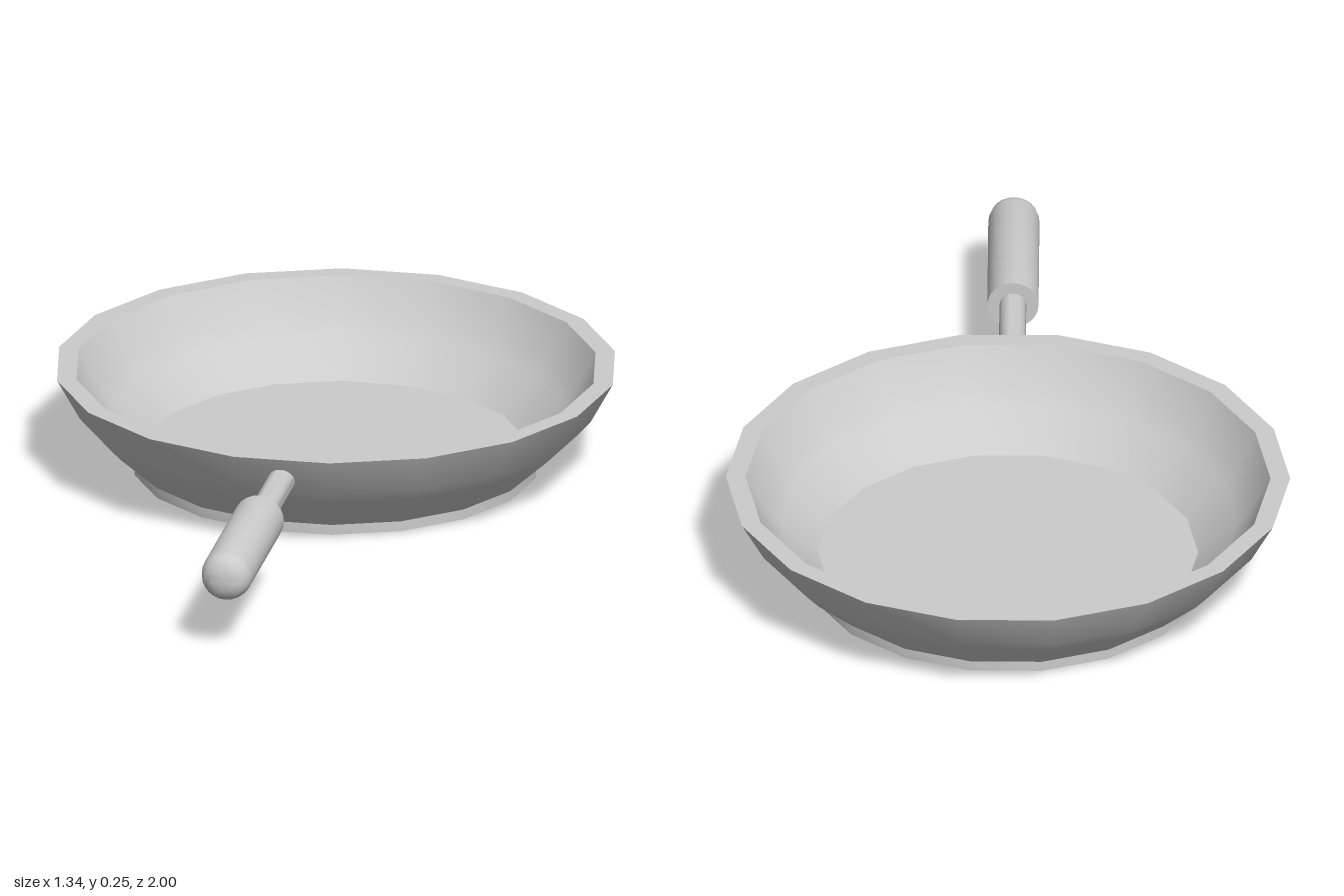
import * as THREE from 'three';
import { toCreasedNormals } from 'three/addons/utils/BufferGeometryUtils.js';

const material = new THREE.MeshStandardMaterial({ color: 0xcccccc });

// Revolves [radius, height] points, listed from the bottom centre outward and up
function turned(name, profile, sides, start = 0) {
  const points = profile.map(([r, y]) => new THREE.Vector2(r, y));
  const geometry = new THREE.LatheGeometry(points, sides, start);
  const mesh = new THREE.Mesh(toCreasedNormals(geometry, 0.6), material);
  mesh.name = name;
  return mesh;
}

export function createModel() {
  const model = new THREE.Group();
  model.name = 'fryingPan';

  // Pan: recessed underside, foot ring, flared wall, flat rim, hollow inside
  const pan = turned('pan', [
    [0, 0.02], [0.425, 0.02], [0.43, 0],
    [0.485, 0], [0.485, 0.025],
    [0.585, 0.115], [0.617, 0.15], [0.672, 0.25],
    [0.625, 0.25], [0.575, 0.16], [0.545, 0.128], [0.453, 0.045],
    [0, 0.045],
  ], 18, Math.PI / 2);
  pan.position.z = -0.338;
  model.add(pan);

  // Handle: thin rod from the wall into a thicker, round-ended grip
  const handle = new THREE.Group();
  handle.name = 'handle';
  handle.add(turned('rod', [[0, 0.265], [0.032, 0.265], [0.032, 0.58], [0, 0.58]], 24));
  handle.add(turned('grip', [
    [0, 0.567], [0.061, 0.567], [0.061, 0.955],
    [0.057, 0.973], [0.047, 0.987], [0.03, 0.996], [0.015, 0.999], [0, 1],
  ], 24));
  handle.rotation.x = Math.PI / 2;
  handle.position.set(-0.006, 0.187, 0);
  model.add(handle);

  return model;
}
